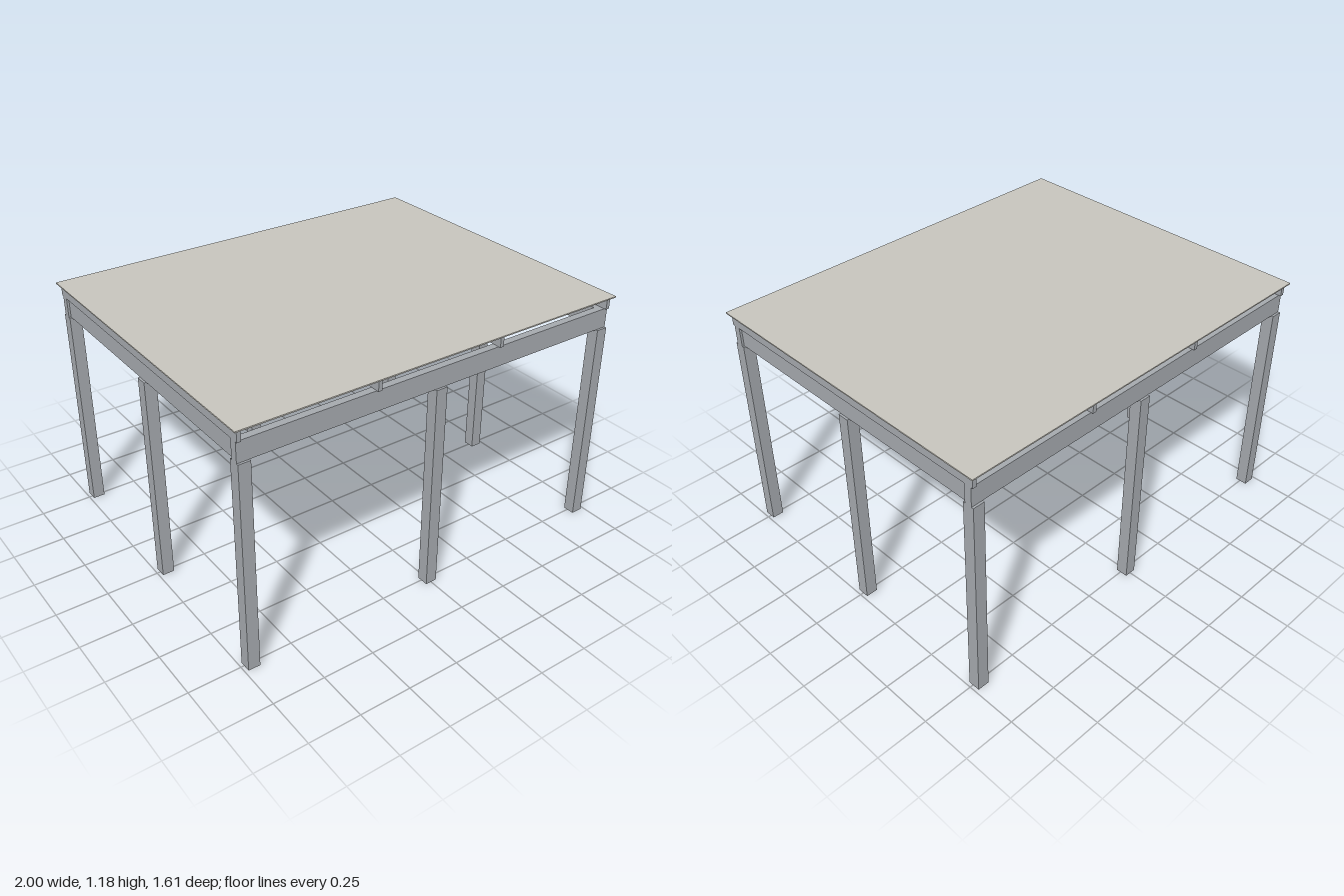
import * as THREE from 'three';

export function createModel() {
  const model = new THREE.Group();
  const steel = new THREE.MeshStandardMaterial({ color: 0xa4a8ad });
  const sheet = new THREE.MeshStandardMaterial({ color: 0xc6c4bc });

  // Box given by its size, its centre in plan and its underside height
  function box(name, [w, h, d], x, bottom, z, material = steel) {
    const mesh = new THREE.Mesh(new THREE.BoxGeometry(w, h, d), material);
    mesh.name = name;
    mesh.position.set(x, bottom + h / 2, z);
    model.add(mesh);
  }

  const post = 0.057, postX = 0.955, postZ = 0.757;
  const beamY = 1.023, beamH = 0.096, beamW = 0.036;
  const rafterY = beamY + beamH, roofY = 1.176;

  // Posts around the perimeter, none in the middle
  for (const i of [-1, 0, 1]) {
    for (const j of [-1, 0, 1]) {
      if (i || j) box('post', [post, beamY, post], i * postX, 0, j * postZ);
    }
  }

  // Perimeter beams: long ones run through, side ones fit between them
  for (const s of [-1, 1]) {
    box('longBeam', [2 * postX + post, beamH, beamW], 0, beamY, s * postZ);
    box('sideBeam', [beamW, beamH, 2 * postZ - beamW], s * postX, beamY, 0);
  }

  // Rafters from front to back
  for (let k = 0; k < 4; k++) {
    const x = -0.974 + (k * 2 * 0.974) / 3;
    box('rafter', [0.019, roofY - rafterY, 2 * postZ + post], x, rafterY, 0);
  }

  // Thin flat roof
  box('roofPanel', [2, 0.006, 1.606], 0, roofY, 0, sheet);

  return model;
}
